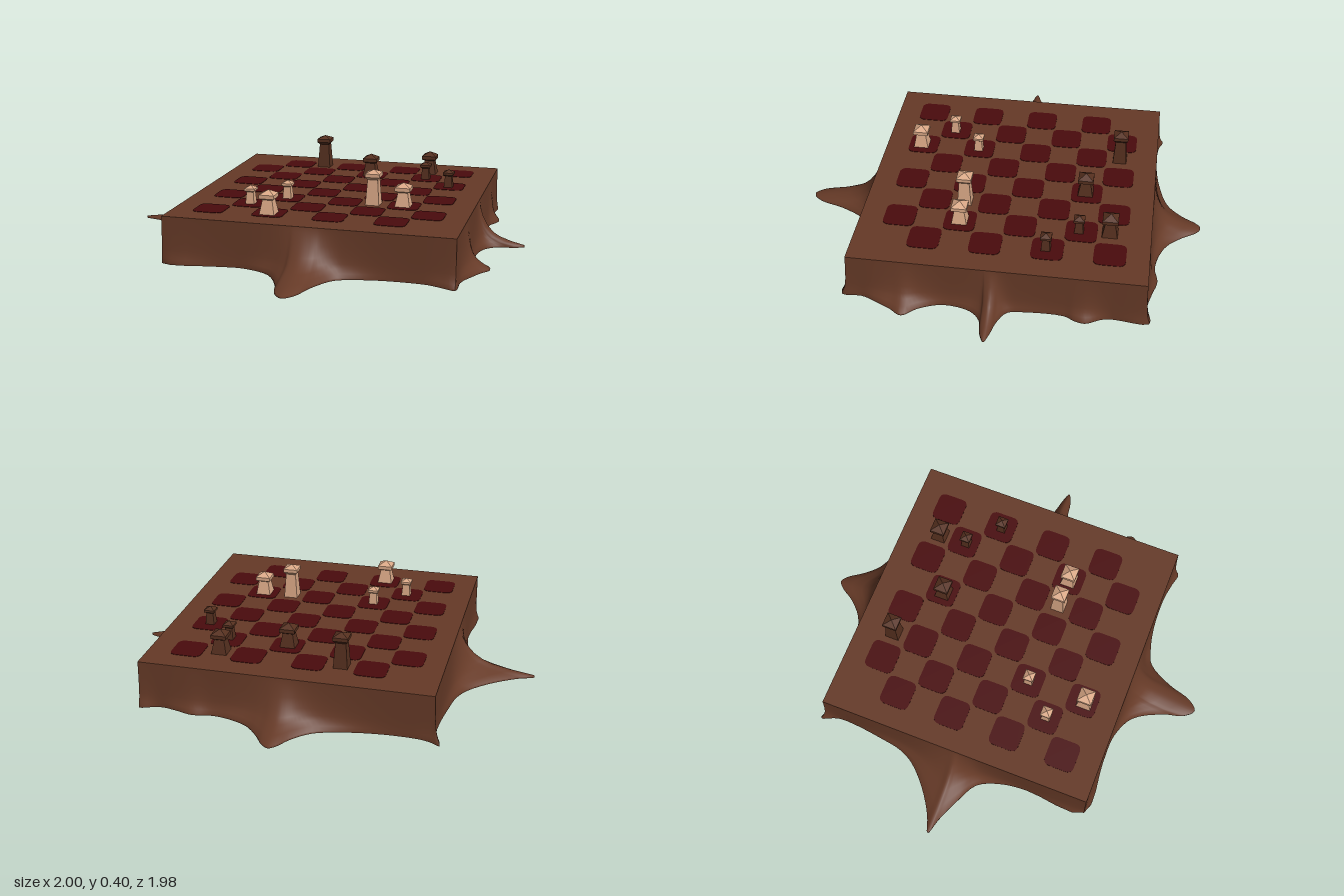
import * as THREE from 'three';

const mat = (name, color, side = THREE.FrontSide) => {
  const m = new THREE.MeshStandardMaterial({ color, side });
  m.name = name;
  return m;
};

// board limits
const X0 = -0.62, X1 = 0.77, Z0 = -0.75, Z1 = 0.635, TOP = 0.23;

// ground outline of the stump, one list per side, each starting at a corner
const OUTLINE = [
  [[-0.65, -0.78], [-0.6, -0.765], [-0.5, -0.755], [-0.35, -0.76], [-0.2, -0.785], [-0.08, -0.825], [0, -0.9],
    [0.045, -0.97], [0.075, -0.992], [0.11, -0.97], [0.16, -0.9], [0.23, -0.83], [0.33, -0.79], [0.42, -0.78],
    [0.5, -0.795], [0.58, -0.775], [0.68, -0.755]],
  [[0.772, -0.77], [0.772, -0.6], [0.785, -0.55], [0.82, -0.48], [0.81, -0.43], [0.785, -0.38], [0.785, -0.2],
    [0.8, -0.12], [0.87, -0.08], [0.95, -0.06], [1, -0.04], [0.95, -0.015], [0.87, 0], [0.815, 0.05],
    [0.79, 0.18], [0.83, 0.29], [0.885, 0.36], [0.85, 0.42], [0.81, 0.5], [0.78, 0.57]],
  [[0.772, 0.665], [0.7, 0.655], [0.6, 0.64], [0.42, 0.645], [0.3, 0.67], [0.23, 0.7], [0.16, 0.82], [0.12, 0.94],
    [0.075, 0.985], [0.03, 0.94], [0, 0.84], [-0.08, 0.7], [-0.2, 0.645], [-0.35, 0.64]],
  [[-0.622, 0.638], [-0.622, 0.33], [-0.64, 0.2], [-0.69, 0.09], [-0.8, 0.03], [-0.92, -0.02], [-1, -0.045],
    [-0.92, -0.08], [-0.8, -0.16], [-0.7, -0.26], [-0.66, -0.34], [-0.64, -0.45], [-0.622, -0.6], [-0.622, -0.7]],
];
// root flare: share of the outward reach, height
const FLARE = [[0, TOP], [0.02, 0.205], [0.1, 0.15], [0.21, 0.105], [0.33, 0.075], [0.47, 0.055], [0.72, 0.035], [1, 0.02], [1, 0.01]];

const clamp = THREE.MathUtils.clamp;
const toBoard = (p, inset = 0) => new THREE.Vector3(
  clamp(p.x, X0 + inset, X1 - inset), 0, clamp(p.z, Z0 + inset, Z1 - inset));

// skin between columns of points, each column running from top to bottom
function skin(columns) {
  const rows = columns[0].length, pos = [], idx = [];
  columns.forEach((col) => col.forEach((p) => pos.push(p.x, p.y, p.z)));
  for (let i = 0; i < columns.length - 1; i++) {
    for (let j = 0; j < rows - 1; j++) {
      const a = i * rows + j, b = a + rows;
      idx.push(a, b, a + 1, b, b + 1, a + 1);
    }
  }
  const g = new THREE.BufferGeometry();
  g.setAttribute('position', new THREE.Float32BufferAttribute(pos, 3));
  g.setIndex(idx);
  g.computeVertexNormals();
  return g;
}

export function createModel() {
  const model = new THREE.Group();
  const wood = mat('wood', 0x663a27);
  const square = mat('dark red square', 0x4a0b0d);
  const pale = mat('pale wood', 0xdba987);
  const brown = mat('dark wood', 0x56301f);
  const under = mat('underside grey', 0x555555);
  const add = (name, geo, material, parent = model) => {
    const m = new THREE.Mesh(geo, material);
    m.name = name;
    parent.add(m);
    return m;
  };

  // smooth closed ground line
  const pts = OUTLINE.flat().map(([x, z]) => new THREE.Vector3(x, 0, z));
  const curve = new THREE.CatmullRomCurve3(pts, true, 'centripetal');
  const STEP = 4, total = pts.length * STEP;
  const ground = Array.from({ length: total }, (_, i) => curve.getPoint(i / total));

  // four flared walls with creased corners
  const wallNames = ['backWall', 'leftWall', 'frontWall', 'rightWall'];
  let start = 0;
  OUTLINE.forEach((side, s) => {
    const columns = [];
    const count = side.length * STEP;
    for (let i = 0; i <= count; i++) {
      const p = ground[(start + i) % total], top = toBoard(p);
      const drop = 0.01 * Math.max(0, 1 - Math.min(i, count - i) / 6);
      columns.push(FLARE.map(([f, y]) => {
        const q = top.clone().lerp(p, f);
        q.y = y - drop * (1 - y / TOP);
        return q;
      }));
    }
    start += count;
    add(wallNames[s], skin(columns), wood);
  });

  // flat top
  const top = new THREE.PlaneGeometry(X1 - X0, Z1 - Z0).rotateX(-Math.PI / 2);
  add('boardTop', top, wood).position.set((X0 + X1) / 2, TOP, (Z0 + Z1) / 2);

  // underside: wooden rim with an uneven inner edge, grey centre
  const inner = ground.map((p, i) => {
    const inset = 0.05 + 0.02 * Math.sin(i * 0.21) + 0.012 * Math.sin(i * 0.47);
    const q = toBoard(p, inset).lerp(p, 0.2);
    q.y = 0.008;
    return q;
  });
  const rim = ground.map((p, i) => [new THREE.Vector3(p.x, 0.009, p.z), inner[i]]);
  add('undersideRim', skin([...rim, rim[0]]), wood);
  const cap = new THREE.Shape(inner.map((p) => new THREE.Vector2(p.x, p.z)));
  add('underside', new THREE.ShapeGeometry(cap).rotateX(Math.PI / 2), under).position.y = 0.008;

  // rounded squares
  const h = 0.075, r = 0.035, s = new THREE.Shape();
  s.moveTo(-h + r, -h);
  s.lineTo(h - r, -h).quadraticCurveTo(h, -h, h, -h + r);
  s.lineTo(h, h - r).quadraticCurveTo(h, h, h - r, h);
  s.lineTo(-h + r, h).quadraticCurveTo(-h, h, -h, h - r);
  s.lineTo(-h, -h + r).quadraticCurveTo(-h, -h, -h + r, -h);
  const tile = new THREE.ExtrudeGeometry(s, { depth: 0.002, bevelEnabled: false, curveSegments: 5 }).rotateX(-Math.PI / 2);
  const squares = new THREE.Group();
  squares.name = 'squares';
  model.add(squares);
  for (let row = 0; row < 8; row++) {
    for (let col = 0; col < 8; col++) {
      if ((row + col) % 2 === 0) continue;
      add('square', tile, square, squares).position.set(-0.442 + col * 0.1465, TOP, -0.566 + row * 0.1445);
    }
  }

  // square pieces: tapered body, collar and pyramid cap, as half width and height
  const profiles = {
    tallPiece: [[0.034, 0], [0.025, 0.125], [0.036, 0.138], [0.036, 0.155], [0, 0.172]],
    shortPiece: [[0.037, 0], [0.024, 0.07], [0.037, 0.078], [0.037, 0.096], [0, 0.117]],
    pawn: [[0.022, 0], [0.017, 0.06], [0.026, 0.067], [0.026, 0.078], [0, 0.092]],
  };
  const pieceGeo = {};
  for (const [name, profile] of Object.entries(profiles)) {
    const line = profile.map(([w, y]) => new THREE.Vector2(w * Math.SQRT2, y));
    const g = new THREE.LatheGeometry(line, 4).rotateY(Math.PI / 4).toNonIndexed();
    g.computeVertexNormals();
    pieceGeo[name] = g;
  }
  const place = (name, material, spots) => spots.forEach(([x, z]) =>
    add(name, pieceGeo[name], material).position.set(x, TOP, z));
  place('tallPiece', pale, [[0.285, 0.157]]);
  place('shortPiece', pale, [[0.433, 0.157], [-0.15, 0.457]]);
  place('pawn', pale, [[-0.147, 0.16], [-0.29, 0.305]]);
  place('tallPiece', brown, [[-0.155, -0.563]]);
  place('shortPiece', brown, [[0.138, -0.415], [0.43, -0.555]]);
  place('pawn', brown, [[0.435, -0.41], [0.58, -0.27]]);

  return model;
}
